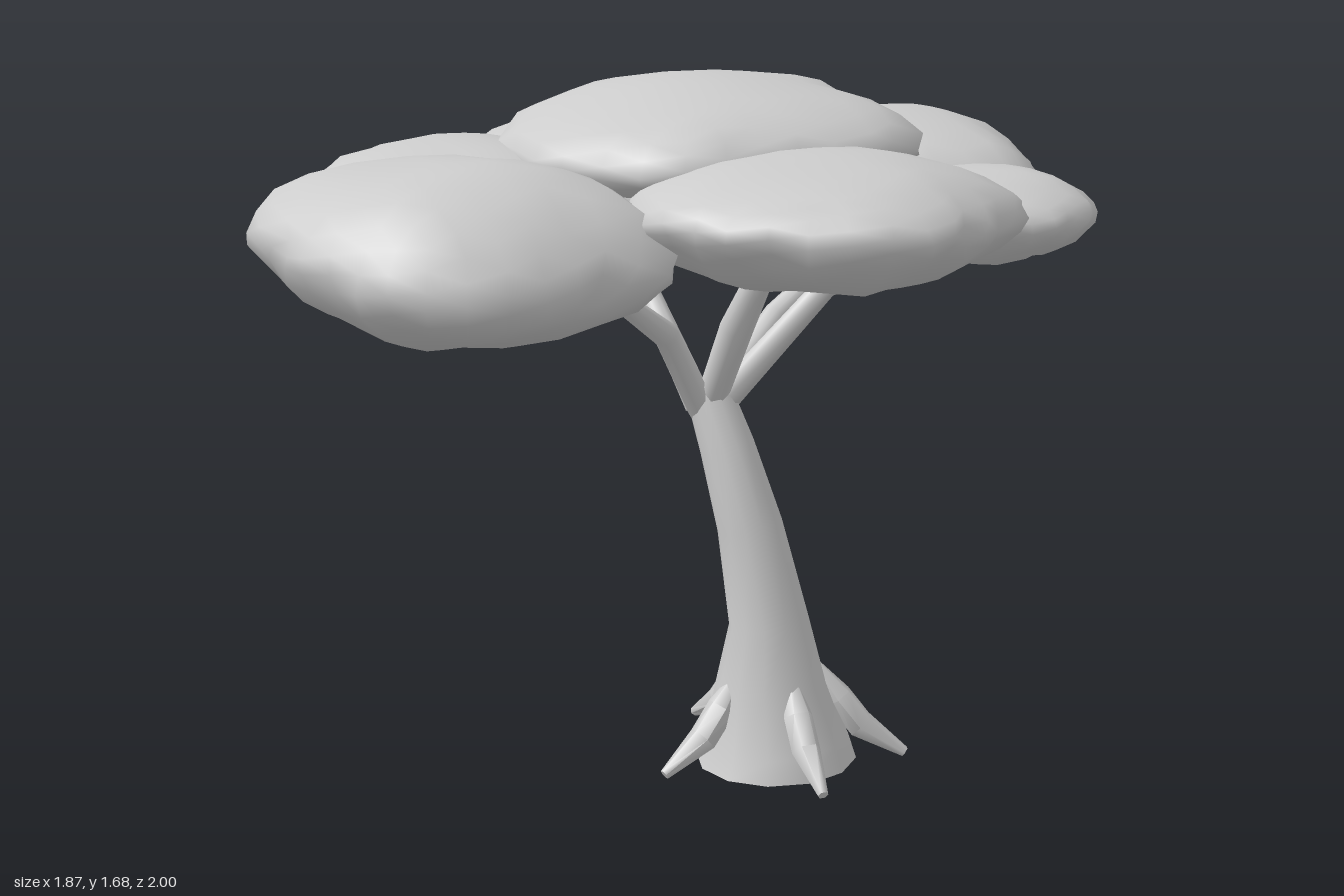
import * as THREE from 'three';
import { mergeVertices, toCreasedNormals } from 'three/addons/utils/BufferGeometryUtils.js';

const V = (x, y, z) => new THREE.Vector3(x, y, z);

// Tapered limb: a cylinder whose rings follow a list of points and radii
function limbGeometry(points, radii, sides, open = false) {
  const n = points.length - 1;
  const geo = new THREE.CylinderGeometry(1, 1, 1, sides, n, open);
  const pos = geo.attributes.position;
  const frames = points.map((p, i) => {
    const dir = points[Math.min(i + 1, n)].clone().sub(points[Math.max(i - 1, 0)]).normalize();
    return new THREE.Quaternion().setFromUnitVectors(V(0, 1, 0), dir);
  });
  for (let i = 0; i < pos.count; i++) {
    const k = Math.round((pos.getY(i) + 0.5) * n);
    const v = V(pos.getX(i), 0, pos.getZ(i)).multiplyScalar(radii[k]);
    v.applyQuaternion(frames[k]).add(points[k]);
    pos.setXYZ(i, v.x, v.y, v.z);
  }
  return toCreasedNormals(geo, Math.PI / 3);
}

// Flattened leaf cloud: a sphere stretched to an outline (radius every 30 degrees
// from +x towards +z), to separate heights above and below its rim, and tilted
function cloudGeometry({ rim, top, bottom, tilt, outline }, seed) {
  let geo = new THREE.IcosahedronGeometry(1, 4);
  geo.deleteAttribute('uv');
  geo.deleteAttribute('normal');
  geo = mergeVertices(geo, 1e-4);
  const pos = geo.attributes.position;
  for (let i = 0; i < pos.count; i++) {
    const d = V().fromBufferAttribute(pos, i);
    const angle = Math.atan2(d.z, d.x);
    const a = ((angle / (Math.PI * 2) + 1) % 1) * 12;
    const k = Math.floor(a) % 12;
    const r = THREE.MathUtils.lerp(outline[k], outline[(k + 1) % 12], a - Math.floor(a));
    const lump = Math.sin(5 * d.x + seed * 2.1) * Math.sin(5 * d.z + seed * 1.3);
    const ripple = Math.sin(9 * d.x - 4 * d.y + seed * 3.7) * Math.cos(8 * d.z + seed);
    const wide = r * (1.01 + 0.025 * Math.sin(11 * angle + 5 * d.y + seed) + 0.04 * ripple * Math.abs(d.y));
    const height = d.y > 0
      ? (top - rim) * Math.pow(d.y, 1.1) * (1 + 0.04 * lump)
      : (bottom - rim) * Math.pow(-d.y, 1.1) * (1 + 0.07 * lump + 0.05 * ripple);
    const lean = (tilt[0] * d.x + tilt[1] * d.z) * (1 - d.y * d.y);
    pos.setXYZ(i, d.x * wide, height + lean, d.z * wide);
  }
  geo.computeVertexNormals();
  return geo;
}

export function createModel() {
  const tree = new THREE.Group();
  tree.name = 'tree';
  const grey = new THREE.MeshStandardMaterial({ color: 0xcccccc, side: THREE.DoubleSide });
  grey.name = 'plain grey';
  const add = (name, geo, parent = tree) => {
    const mesh = new THREE.Mesh(geo, grey);
    mesh.name = name;
    parent.add(mesh);
    return mesh;
  };
  const addGroup = (name) => {
    const g = new THREE.Group();
    g.name = name;
    tree.add(g);
    return g;
  };

  // Leaning trunk with a flared, open foot
  const trunkPoints = [
    V(0.195, 0.006, 0.035), V(0.194, 0.06, 0.036), V(0.18, 0.2, 0.04), V(0.176, 0.36, 0.045),
    V(0.128, 0.6, 0.043), V(0.07, 0.79, 0.022), V(0.022, 0.92, 0),
  ];
  add('trunk', limbGeometry(trunkPoints, [0.197, 0.178, 0.135, 0.098, 0.08, 0.067, 0.056], 12, true));

  // Five spindle-shaped roots around the foot
  const roots = addGroup('roots');
  for (const degrees of [-3, 63, 140, 225, 290]) {
    const a = THREE.MathUtils.degToRad(degrees);
    const at = (r, y) => V(0.19 + r * Math.cos(a), y, 0.025 + r * Math.sin(a));
    add('root', limbGeometry(
      [at(0.1, 0.24), at(0.155, 0.16), at(0.21, 0.09), at(0.32, 0.02)],
      [0.014, 0.036, 0.036, 0.013], 6), roots);
  }

  // Bent branches fanning out from the trunk top
  const branches = addGroup('branches');
  const branchTips = [
    [V(0.1, 1.1, 0.09), V(0.18, 1.28, 0.18), 0.04],
    [V(0.3, 1.18, -0.02), V(0.51, 1.26, -0.03), 0.028],
    [V(0.17, 1.08, -0.14), V(0.34, 1.23, -0.3), 0.03],
    [V(-0.15, 1.13, -0.16), V(-0.26, 1.23, -0.29), 0.028],
    [V(-0.06, 1.09, 0.14), V(-0.15, 1.22, 0.32), 0.032],
  ];
  for (const [bend, tip, radius] of branchTips) {
    const start = V(0.015, 0.88, 0).lerp(V(bend.x, 0.88, bend.z), 0.1);
    add('branch', limbGeometry([start, bend, tip], [0.036, radius, radius * 0.75], 8), branches);
  }

  // Leaf clouds of the canopy
  const canopy = addGroup('canopy');
  const clouds = [
    { name: 'topCloud', x: 0.02, z: -0.04, rim: 1.51, top: 1.675, bottom: 1.4, tilt: [0.01, 0.01],
      outline: [0.5, 0.44, 0.39, 0.46, 0.46, 0.49, 0.51, 0.5, 0.45, 0.47, 0.49, 0.44] },
    { name: 'backRightCloud', x: -0.25, z: -0.57, rim: 1.34, top: 1.5, bottom: 1.19, tilt: [0, 0.01],
      outline: [0.45, 0.47, 0.5, 0.46, 0.46, 0.46, 0.43, 0.43, 0.42, 0.43, 0.48, 0.48] },
    { name: 'backLeftCloud', x: 0.42, z: -0.48, rim: 1.33, top: 1.53, bottom: 1.13, tilt: [0, 0.01],
      outline: [0.36, 0.41, 0.38, 0.38, 0.42, 0.42, 0.4, 0.44, 0.42, 0.36, 0.37, 0.37] },
    { name: 'leftCloud', x: 0.67, z: -0.03, rim: 1.38, top: 1.47, bottom: 1.26, tilt: [-0.01, 0.01],
      outline: [0.26, 0.25, 0.28, 0.28, 0.27, 0.25, 0.24, 0.25, 0.26, 0.28, 0.29, 0.26] },
    { name: 'frontLeftCloud', x: 0.33, z: 0.38, rim: 1.43, top: 1.575, bottom: 1.28, tilt: [-0.01, 0.035],
      outline: [0.39, 0.37, 0.43, 0.4, 0.41, 0.43, 0.44, 0.42, 0.42, 0.4, 0.43, 0.5] },
    { name: 'frontRightCloud', x: -0.45, z: 0.58, rim: 1.39, top: 1.58, bottom: 1.18, tilt: [-0.035, -0.03],
      outline: [0.48, 0.38, 0.4, 0.41, 0.37, 0.4, 0.48, 0.49, 0.37, 0.34, 0.37, 0.44] },
    { name: 'rightCloud', x: -0.55, z: 0.1, rim: 1.42, top: 1.54, bottom: 1.28, tilt: [0, 0],
      outline: [0.36, 0.35, 0.3, 0.26, 0.3, 0.33, 0.36, 0.29, 0.28, 0.27, 0.3, 0.33] },
  ];
  clouds.forEach((c, i) => {
    add(c.name, cloudGeometry(c, i + 1), canopy).position.set(c.x, c.rim, c.z);
  });

  return tree;
}
